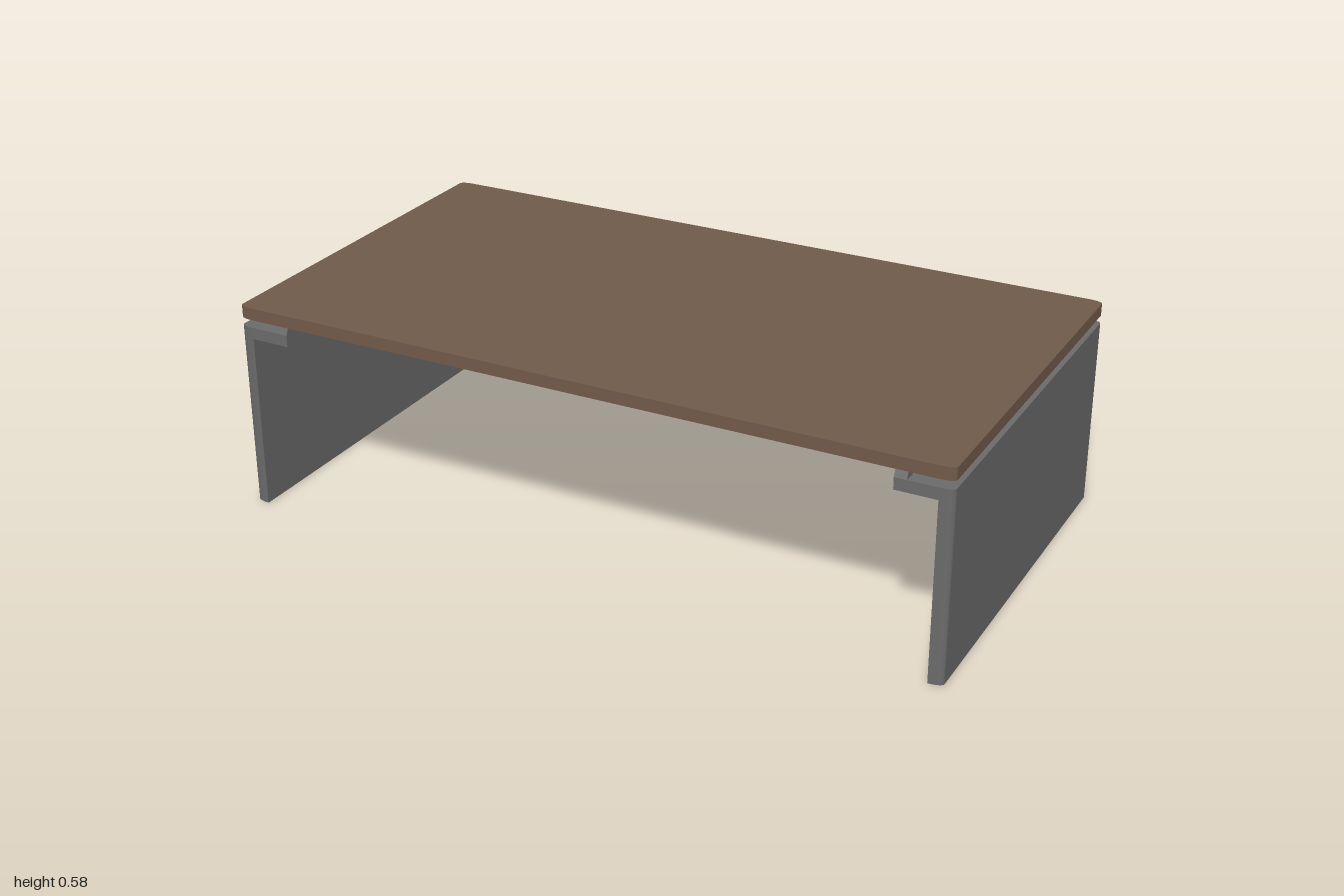
import * as THREE from 'three';

const HALF_DEPTH = 0.54, LEG_TOP = 0.521, SLAB_BOTTOM = 0.543, SLAB_TOP = 0.577;
const CORNER_X = 0.037, CORNER_Z = 0.014;

// Plan outline from x = inner to x = 1, with elliptical outer corners;
// the inner end is square, or rounded too when roundInner is set.
function planShape(inner, roundInner) {
  const points = [];
  const corner = (cx, cz, start) => {
    for (let i = 0; i <= 5; i++) {
      const a = start + (i / 5) * Math.PI / 2;
      points.push(new THREE.Vector2(cx + CORNER_X * Math.cos(a), cz + CORNER_Z * Math.sin(a)));
    }
  };
  const z = HALF_DEPTH - CORNER_Z;
  corner(1 - CORNER_X, -z, -Math.PI / 2);
  corner(1 - CORNER_X, z, 0);
  if (roundInner) {
    corner(inner + CORNER_X, z, Math.PI / 2);
    corner(inner + CORNER_X, -z, Math.PI);
  } else {
    points.push(new THREE.Vector2(inner, HALF_DEPTH), new THREE.Vector2(inner, -HALF_DEPTH));
  }
  return new THREE.Shape(points);
}

// Upright prism of a plan outline between two heights
function prism(shape, bottom, top) {
  return new THREE.ExtrudeGeometry(shape, { depth: top - bottom, bevelEnabled: false })
    .rotateX(-Math.PI / 2).translate(0, bottom, 0);
}

function box(x0, x1, y0, y1) {
  return new THREE.BoxGeometry(x1 - x0, y1 - y0, HALF_DEPTH * 2)
    .translate((x0 + x1) / 2, (y0 + y1) / 2, 0);
}

export function createModel() {
  const wood = new THREE.MeshStandardMaterial({ color: 0x705a4a });
  wood.name = 'brown wood';
  const metal = new THREE.MeshStandardMaterial({ color: 0x6a6a6a });
  metal.name = 'grey metal';

  const table = new THREE.Group();
  table.name = 'table';
  const add = (parent, name, geometry, material) => {
    const mesh = new THREE.Mesh(geometry, material);
    mesh.name = name;
    parent.add(mesh);
  };

  // Table top with softened corners
  add(table, 'tableTop', prism(planShape(-1, true), SLAB_BOTTOM, SLAB_TOP), wood);

  // Rail that carries the top, its ends sloping inwards
  const rail = box(0.852, 0.884, LEG_TOP, SLAB_BOTTOM);
  const p = rail.attributes.position;
  for (let i = 0; i < p.count; i++) {
    if (p.getY(i) > LEG_TOP + 0.01) p.setZ(i, Math.sign(p.getZ(i)) * (HALF_DEPTH - 0.01));
  }
  rail.computeVertexNormals();

  const panel = prism(planShape(0.962, false), 0, LEG_TOP);
  const flange = box(0.852, 0.962, 0.489, LEG_TOP);

  // Panel leg, inward flange and rail at each end
  for (const [name, turn] of [['leftLeg', 0], ['rightLeg', Math.PI]]) {
    const leg = new THREE.Group();
    leg.name = name;
    add(leg, 'legPanel', panel, metal);
    add(leg, 'legFlange', flange, metal);
    add(leg, 'supportRail', rail, metal);
    leg.rotation.y = turn;
    table.add(leg);
  }
  return table;
}
